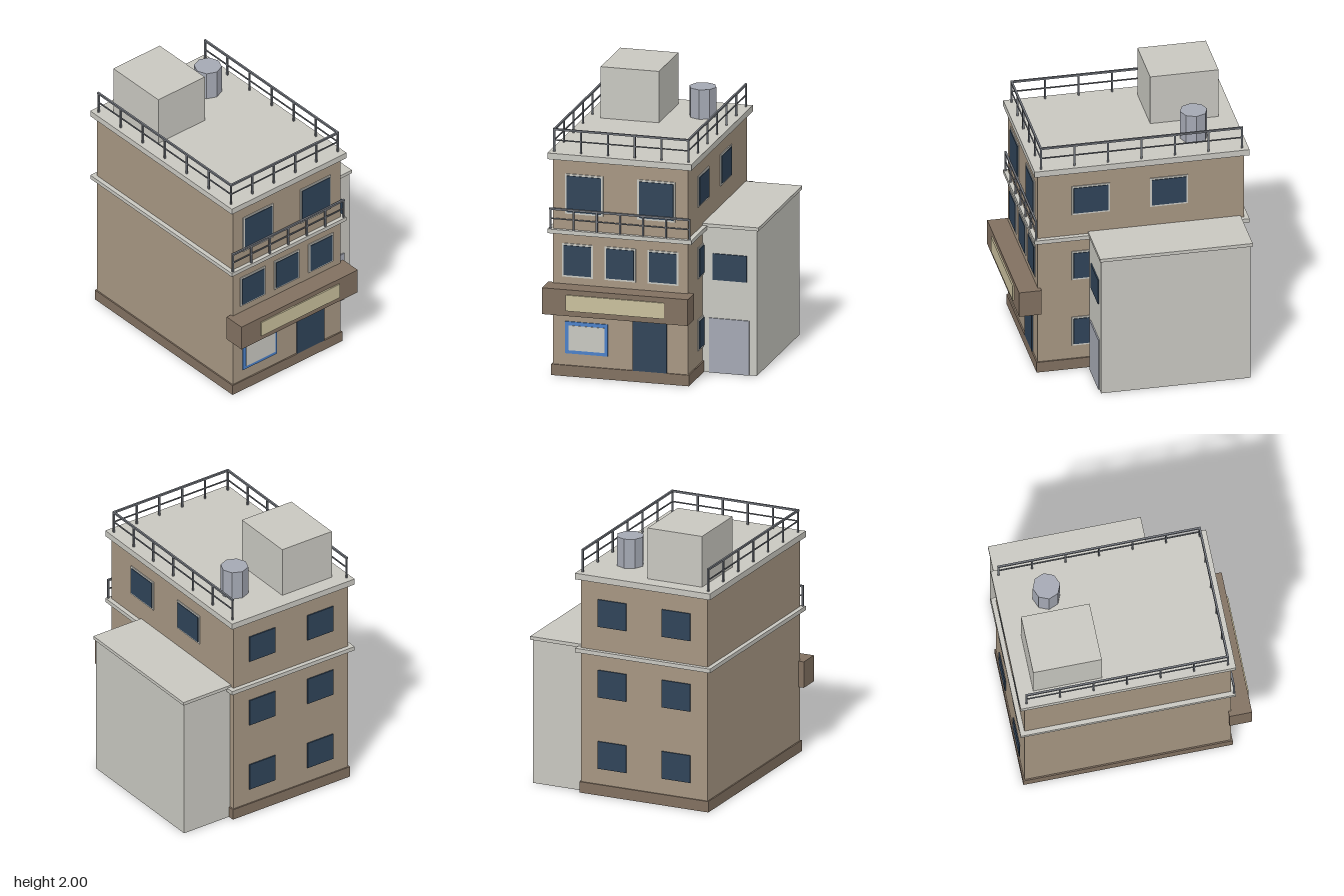
import * as THREE from 'three';

const mat = (name, color) => {
  const m = new THREE.MeshStandardMaterial({ color });
  m.name = name;
  return m;
};

export function createModel() {
  const M = {
    wall: mat('tan wall', 0xa69682),
    trim: mat('brown trim', 0x817060),
    concrete: mat('light concrete', 0xc8c7c0),
    glass: mat('dark glass', 0x2f4358),
    blue: mat('blue frame', 0x4a80c8),
    panel: mat('cream panel', 0xc9bf9c),
    rail: mat('rail grey', 0x71757c),
    metal: mat('pale metal', 0xa4a8b3),
  };
  M.metal.flatShading = true;

  const root = new THREE.Group();
  root.name = 'building';

  // Box given by its extents on each axis
  const box = (name, m, x0, x1, y0, y1, z0, z1, parent = root) => {
    const mesh = new THREE.Mesh(new THREE.BoxGeometry(x1 - x0, y1 - y0, z1 - z0), m);
    mesh.position.set((x0 + x1) / 2, (y0 + y1) / 2, (z0 + z1) / 2);
    mesh.name = name;
    parent.add(mesh);
    return mesh;
  };

  // Main block with plinth, floor ledge and roof slab
  box('plinth', M.trim, -0.688, 0.317, 0, 0.08, -0.81, 0.688);
  box('mainWalls', M.wall, -0.678, 0.307, 0.08, 1.58, -0.8, 0.678);
  box('floorLedge', M.concrete, -0.711, 0.34, 1.04, 1.07, -0.833, 0.707);
  box('roofSlab', M.concrete, -0.711, 0.34, 1.58, 1.625, -0.833, 0.707);

  // Side annex
  box('annexWalls', M.concrete, 0.307, 0.702, 0, 1.06, -0.762, 0.308);
  box('annexRoof', M.concrete, 0.3, 0.717, 1.06, 1.085, -0.775, 0.318);
  box('annexWindow', M.glass, 0.382, 0.63, 0.678, 0.87, 0.308, 0.317);
  box('annexDoor', M.metal, 0.355, 0.648, 0, 0.398, 0.308, 0.317);

  // Window facing +z before the holder turns it; border 0 means no frame
  const addWindow = (x, y, z, turn, w, h, border) => {
    const g = new THREE.Group();
    g.name = 'window';
    g.position.set(x, y, z);
    g.rotation.y = turn;
    if (border) {
      box('windowFrame', M.concrete, -w / 2 - border, w / 2 + border, -h / 2 - border, h / 2 + border, 0, 0.007, g);
    }
    box('windowGlass', M.glass, -w / 2, w / 2, -h / 2, h / 2, 0.003, 0.012, g);
    root.add(g);
  };

  const midX = -0.186;
  // Front windows
  for (const i of [-1, 0, 1]) addWindow(midX + i * 0.312, 0.847, 0.678, 0, 0.2, 0.218, 0.013);
  for (const i of [-1, 1]) addWindow(midX + i * 0.263, 1.332, 0.678, 0, 0.25, 0.266, 0.013);
  // Side windows
  for (const y of [0.298, 0.825, 1.347]) addWindow(0.307, y, 0.298, Math.PI / 2, 0.247, 0.202, 0.013);
  addWindow(0.307, 1.347, -0.262, Math.PI / 2, 0.247, 0.202, 0.013);
  // Rear windows
  for (const y of [0.298, 0.825, 1.347]) {
    for (const i of [-1, 1]) addWindow(midX + i * 0.249, y, -0.8, Math.PI, 0.222, 0.202, 0);
  }

  // Shop front
  box('shopDoor', M.glass, -0.096, 0.153, 0.08, 0.463, 0.678, 0.688);
  box('displayFrame', M.blue, -0.589, -0.278, 0.167, 0.4, 0.678, 0.686);
  box('displayPanel', M.concrete, -0.562, -0.298, 0.192, 0.373, 0.682, 0.69);
  box('canopy', M.trim, -0.718, 0.347, 0.48, 0.672, 0.658, 0.82);
  box('canopyPanel', M.panel, -0.543, 0.175, 0.519, 0.635, 0.82, 0.83);

  // Straight railing from (x0,z0) to (x1,z1) with evenly spaced posts
  const addRailing = (name, x0, z0, x1, z1, y0, y1, segments) => {
    const g = new THREE.Group();
    g.name = name;
    const r = 0.006;
    for (let i = 0; i <= segments; i++) {
      const x = x0 + ((x1 - x0) * i) / segments;
      const z = z0 + ((z1 - z0) * i) / segments;
      box('post', M.rail, x - r, x + r, y0, y1, z - r, z + r, g);
    }
    const [xa, xb] = [Math.min(x0, x1), Math.max(x0, x1)];
    const [za, zb] = [Math.min(z0, z1), Math.max(z0, z1)];
    const bar = (n, y, t) => box(n, M.rail, xa - t, xb + t, y - t, y + t, za - t, zb + t, g);
    bar('topRail', y1 - 0.006, 0.007);
    bar('midRail', (y0 + y1) / 2, 0.004);
    root.add(g);
  };
  addRailing('roofRailFront', -0.675, 0.655, 0.303, 0.655, 1.625, 1.793, 5);
  for (const x of [-0.675, 0.303]) addRailing('roofRailSide', x, 0.655, x, -0.785, 1.625, 1.793, 6);
  addRailing('balconyRail', -0.692, 0.695, 0.322, 0.695, 1.07, 1.223, 6);

  // Rooftop stair house and water tank
  box('stairHouse', M.concrete, -0.595, -0.17, 1.625, 2, -0.72, -0.23);
  const tank = new THREE.Mesh(new THREE.CylinderGeometry(0.098, 0.098, 0.215, 8), M.metal);
  tank.position.set(0.076, 1.7325, -0.488);
  tank.name = 'waterTank';
  root.add(tank);

  return root;
}
